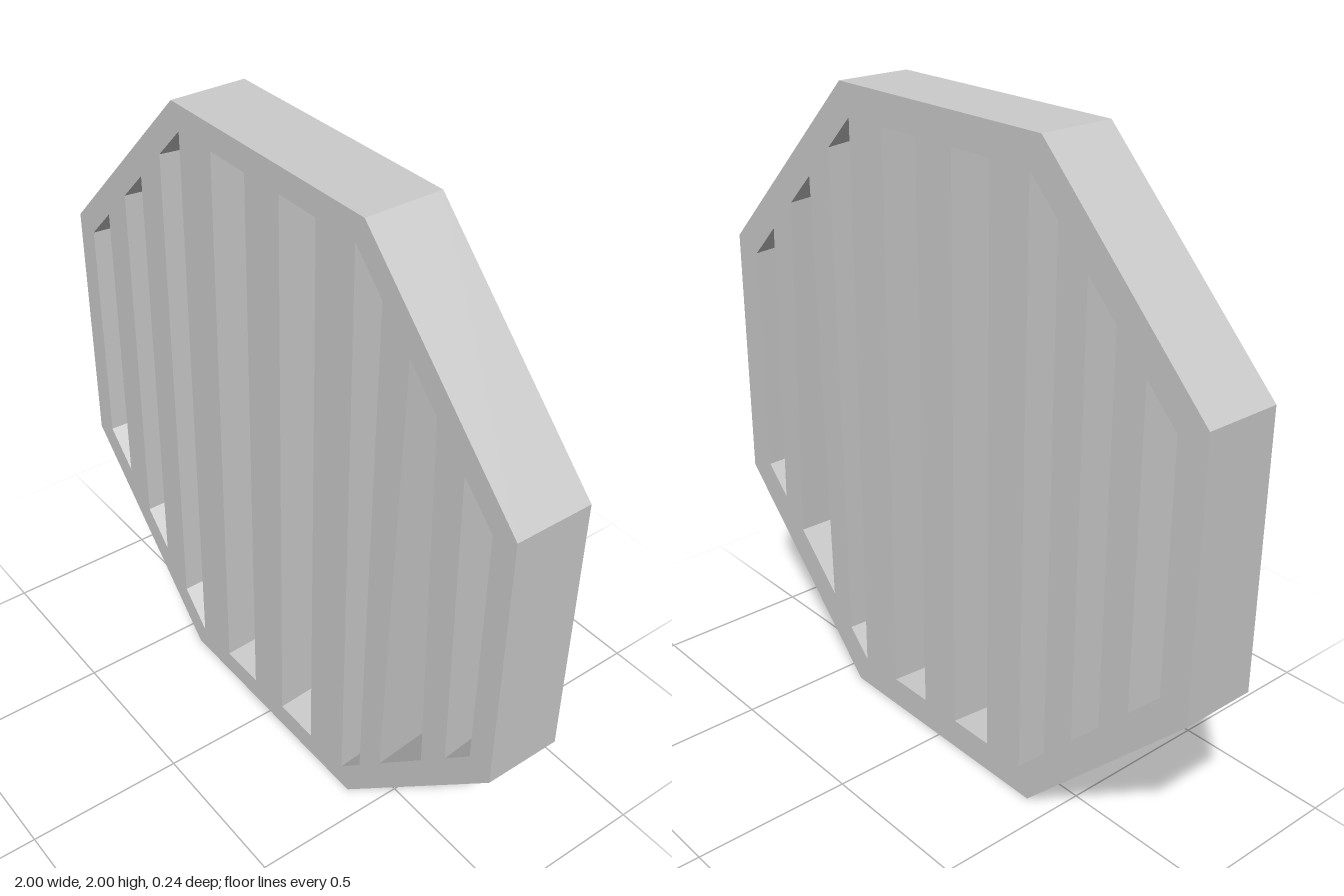
import * as THREE from 'three';

const OUTER = 1, INNER = 0.922, DEPTH = 0.24, TAPER = 0.98;

// Half height of the inner octagon at a given x
const innerY = x => Math.min(INNER, INNER * Math.SQRT2 - Math.abs(x));

// Slots: left and right edge at the top, then left and right edge at the bottom
const slots = [
  [-0.922, -0.812, -0.922, -0.812],
  [-0.705, -0.6, -0.705, -0.6],
  [-0.49, -0.382, -0.49, -0.382],
  [-0.23, -0.075, -0.235, -0.08],
  [0.075, 0.228, 0.068, 0.223],
  [0.382, 0.489, 0.382, 0.468],
  [0.596, 0.703, 0.559, 0.735],
  [0.81, 0.92, 0.828, 0.92],
];

export function createModel() {
  const group = new THREE.Group();
  group.name = 'octagonalGrille';

  // Octagonal outline
  const outline = [];
  for (let i = 0; i < 8; i++) {
    const a = Math.PI / 8 + i * Math.PI / 4, r = OUTER / Math.cos(Math.PI / 8);
    outline.push(new THREE.Vector2(r * Math.cos(a), r * Math.sin(a)));
  }
  const shape = new THREE.Shape(outline);

  // Slots between the bars, ending on the inner octagon
  for (const [tl, tr, bl, br] of slots) {
    shape.holes.push(new THREE.Path([
      new THREE.Vector2(tl, innerY(tl)), new THREE.Vector2(tr, innerY(tr)),
      new THREE.Vector2(br, -innerY(br)), new THREE.Vector2(bl, -innerY(bl)),
    ]));
  }

  const geometry = new THREE.ExtrudeGeometry(shape, { depth: DEPTH, bevelEnabled: false });
  geometry.translate(0, 0, -DEPTH / 2);

  // Slots narrow slightly towards the back
  const p = geometry.attributes.position;
  for (let i = 0; i < p.count; i++) {
    const x = p.getX(i), y = p.getY(i);
    const reach = Math.max(Math.abs(x), Math.abs(y), (Math.abs(x) + Math.abs(y)) / Math.SQRT2);
    if (p.getZ(i) < 0 && reach < 0.96) p.setXY(i, x * TAPER, y * TAPER);
  }
  geometry.translate(0, 1, 0);
  geometry.computeVertexNormals();

  const grille = new THREE.Mesh(geometry, new THREE.MeshStandardMaterial({ color: 0xcccccc, flatShading: true }));
  grille.name = 'frameWithBars';
  group.add(grille);
  return group;
}
